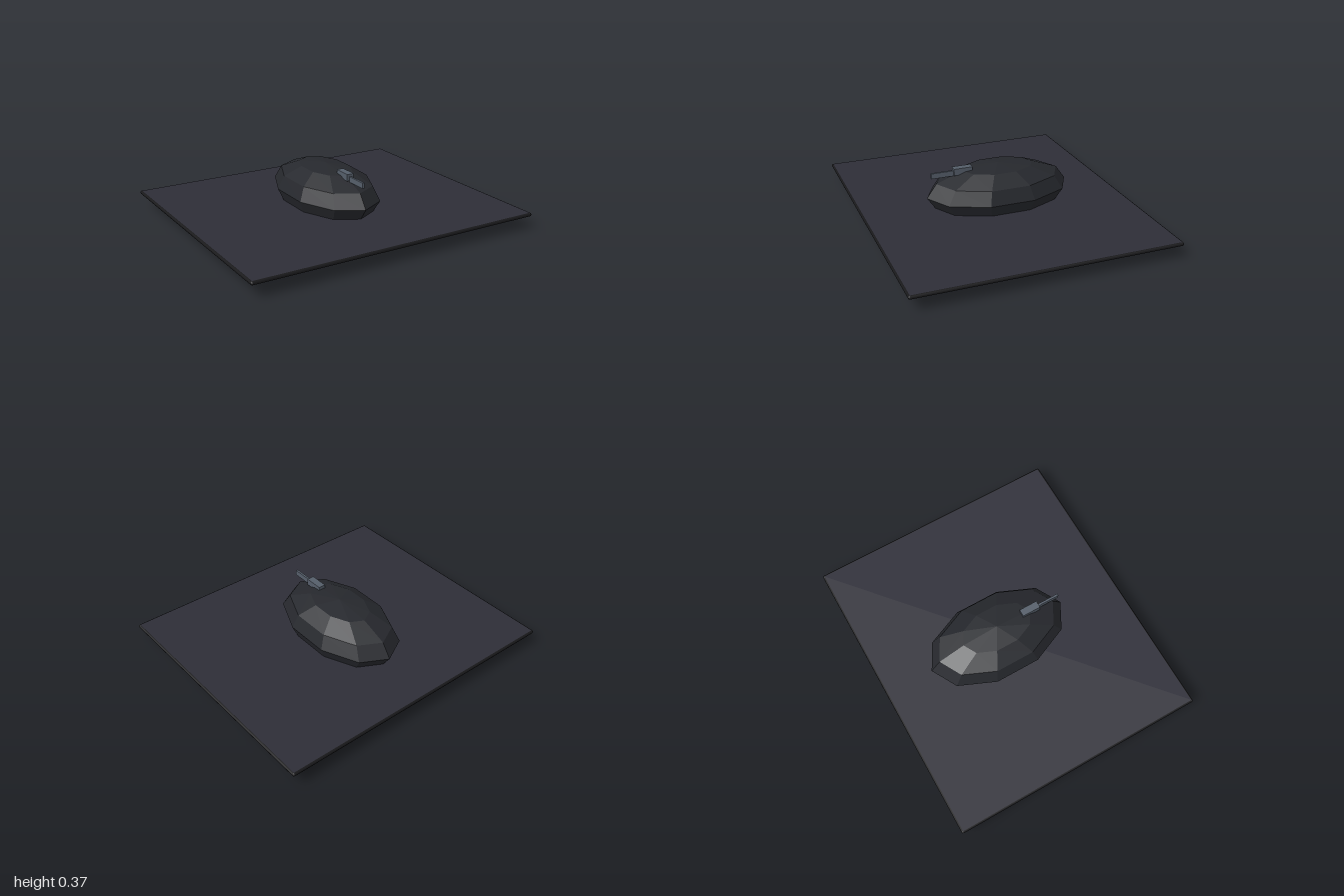
import * as THREE from 'three';

const paint = (name, color) => {
  const m = new THREE.MeshStandardMaterial({ color });
  m.name = name;
  return m;
};

export function createModel() {
  const cloth = paint('dark slate cloth', 0x2d2d37);
  const rubber = paint('black rubber', 0x18181a);
  const shell = paint('charcoal plastic', 0x26282d);
  const grey = paint('steel grey', 0x555e6a);

  const group = new THREE.Group();
  const add = (parent, name, geometry, material, x, y, z) => {
    const mesh = new THREE.Mesh(geometry, material);
    mesh.name = name;
    mesh.position.set(x, y, z);
    parent.add(mesh);
    return mesh;
  };

  // Mat: rubber base, cloth top and a rounded trim around the border
  const W = 2, D = 1.72, R = 0.012, Y = 0.092;
  const mat = new THREE.Group();
  mat.name = 'mat';
  group.add(mat);
  add(mat, 'matBase', new THREE.BoxGeometry(W - 2 * R, 0.018, D - 2 * R), rubber, 0, Y - 0.001, 0);
  add(mat, 'matTop', new THREE.BoxGeometry(W - 2 * R, 0.004, D - 2 * R), cloth, 0, Y + R - 0.002, 0);
  for (const s of [-1, 1]) {
    const long = add(mat, 'trimLong', new THREE.CylinderGeometry(R, R, W - 2 * R, 8), rubber, 0, Y, s * (D / 2 - R));
    long.rotation.z = Math.PI / 2;
    const short = add(mat, 'trimShort', new THREE.CylinderGeometry(R, R, D - 2 * R, 8), rubber, s * (W / 2 - R), Y, 0);
    short.rotation.x = Math.PI / 2;
    for (const t of [-1, 1])
      add(mat, 'trimCorner', new THREE.SphereGeometry(R, 8, 6), rubber, s * (W / 2 - R), Y, t * (D / 2 - R));
  }

  // Body: faceted ellipsoid with a corner pointing to the front and back
  const body = new THREE.SphereGeometry(1, 10, 6)
    .rotateY(Math.PI / 2)
    .scale(0.29, 0.182, 0.488)
    .toNonIndexed();
  body.computeVertexNormals();
  add(group, 'mouseBody', body, shell, 0, 0.182, -0.047);

  // Scroll wheel block and the cable stub in front of it
  add(group, 'scrollWheel', new THREE.BoxGeometry(0.048, 0.045, 0.125), grey, 0, 0.345, 0.198);
  add(group, 'cable', new THREE.BoxGeometry(0.014, 0.036, 0.15), grey, 0, 0.333, 0.334);

  return group;
}
